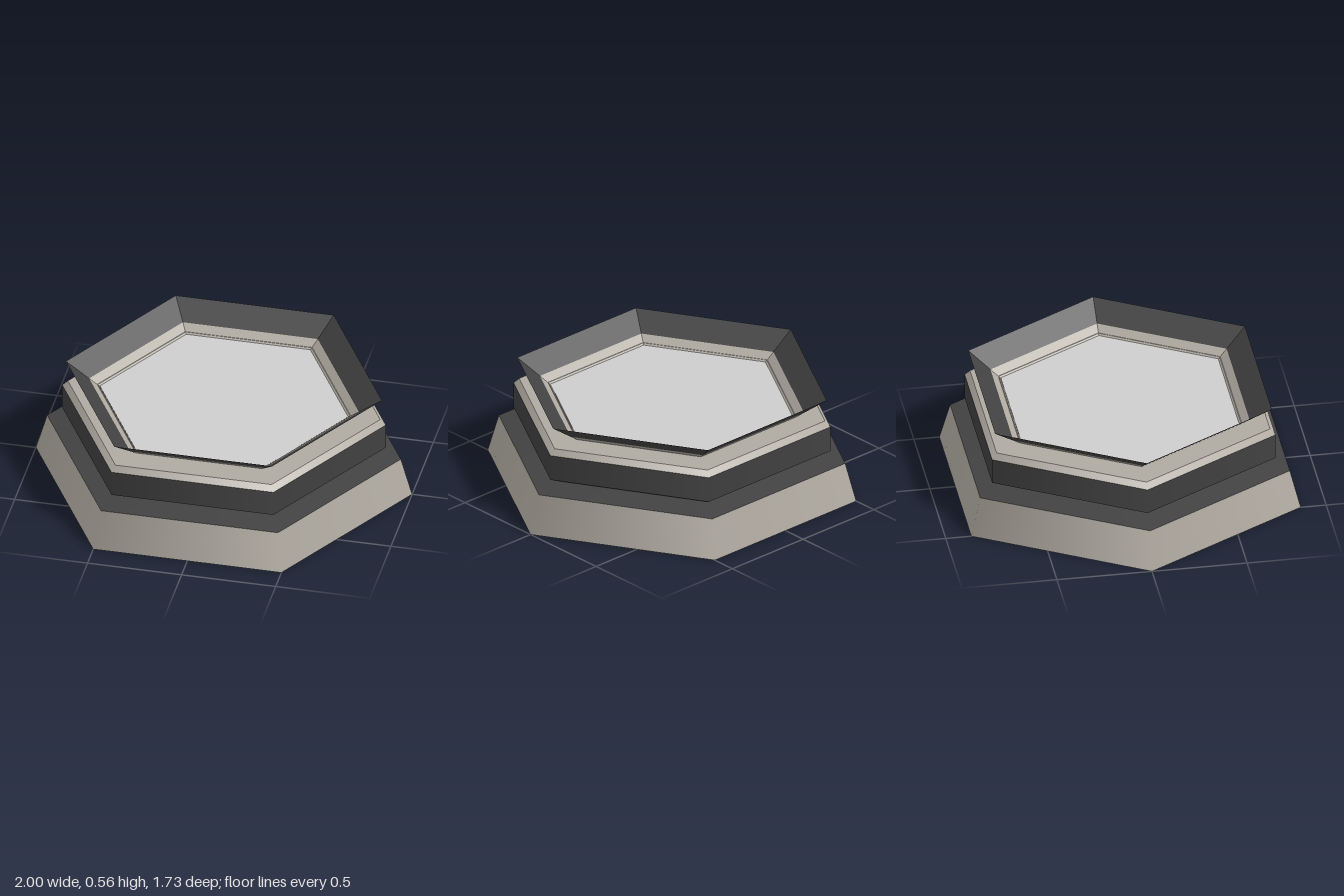
import * as THREE from 'three';

const stone = new THREE.MeshStandardMaterial({ color: 0xb0aaa1, side: THREE.DoubleSide });
stone.name = 'warm grey stone';
const dark = new THREE.MeshStandardMaterial({ color: 0x424243, side: THREE.DoubleSide });
dark.name = 'dark metal';
const pale = new THREE.MeshStandardMaterial({ color: 0xcdcdcd });
pale.name = 'pale panel';

// Open six-sided band between two [radius, height] points, corners on the x axis
function hexBand(name, [r0, y0], [r1, y1], material, flat = false) {
  const h = y1 - y0;
  let geo = new THREE.CylinderGeometry(r1, r0, h, 6, 1, true, Math.PI / 6);
  geo.translate(0, y0 + h / 2, 0);
  if (flat) {
    geo = geo.toNonIndexed();
    geo.computeVertexNormals();
  }
  const mesh = new THREE.Mesh(geo, material);
  mesh.name = name;
  return mesh;
}

// Flat hexagon, optionally with a hexagonal hole, facing up or down
function hexPlate(name, inner, outer, y, material, up = true) {
  const geo = inner > 0
    ? new THREE.RingGeometry(inner, outer, 6)
    : new THREE.CircleGeometry(outer, 6);
  geo.rotateX(up ? -Math.PI / 2 : Math.PI / 2);
  geo.translate(0, y, 0);
  const mesh = new THREE.Mesh(geo, material);
  mesh.name = name;
  return mesh;
}

export function createModel() {
  const model = new THREE.Group();
  model.name = 'hexagonalPedestal';

  // Tapered foot and its underside
  model.add(
    hexPlate('underside', 0, 1, 0, dark, false),
    hexBand('foot', [1, 0], [0.94, 0.21], stone),
    hexBand('footLedge', [0.94, 0.21], [0.78, 0.23], dark)
  );

  // Dark drum with a bevel below and a pale bevelled shoulder
  model.add(
    hexBand('drumLowerBevel', [0.78, 0.23], [0.86, 0.27], dark),
    hexBand('drum', [0.86, 0.27], [0.86, 0.41], dark),
    hexBand('shoulderBevel', [0.86, 0.41], [0.83, 0.44], stone),
    hexPlate('shoulderTop', 0.67, 0.83, 0.44, stone)
  );

  // Thin flared rim around the recessed panel
  model.add(
    hexBand('rimBase', [0.66, 0.43], [0.717, 0.471], stone, true),
    hexBand('rimFlare', [0.717, 0.471], [0.84, 0.56], dark, true),
    hexPlate('topPanel', 0, 0.66, 0.432, pale)
  );

  return model;
}
